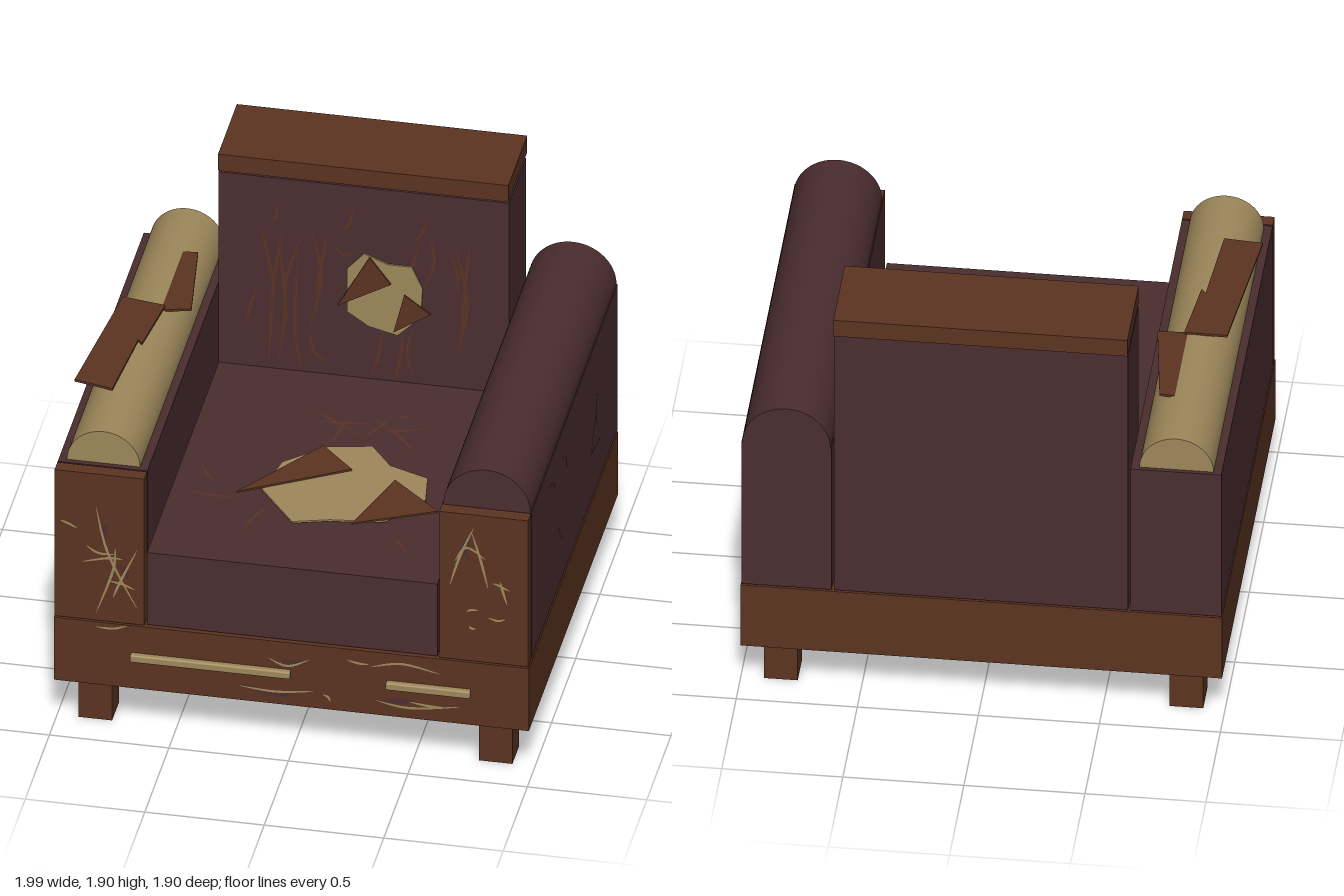
import * as THREE from 'three';
import { mergeGeometries } from 'three/addons/utils/BufferGeometryUtils.js';
import { RoundedBoxGeometry } from 'three/addons/geometries/RoundedBoxGeometry.js';

const colour = (name, hex, side = THREE.FrontSide) => {
  const m = new THREE.MeshStandardMaterial({ color: hex, side });
  m.name = name;
  return m;
};

export function createModel() {
  const root = new THREE.Group();
  root.name = 'wornArmchair';
  const wood = colour('brown wood', 0x5c3421);
  const fabric = colour('maroon fabric', 0x4b2d30);
  const stuffing = colour('straw stuffing', 0x9e885b);

  const add = (name, geometry, material, parent = root) => {
    const mesh = new THREE.Mesh(geometry, material);
    mesh.name = name;
    parent.add(mesh);
    return mesh;
  };

  // Box given by its limits on each axis
  const box = (name, material, [x0, x1], [y0, y1], [z0, z1]) =>
    add(name, new THREE.BoxGeometry(x1 - x0, y1 - y0, z1 - z0), material)
      .position.set((x0 + x1) / 2, (y0 + y1) / 2, (z0 + z1) / 2);

  // Half-round roll lying along z
  const roll = (name, material, x, r, z0, z1) => {
    const g = new THREE.CylinderGeometry(r, r, z1 - z0, 40, 1, false, -Math.PI / 2, Math.PI);
    add(name, g.rotateX(-Math.PI / 2), material).position.set(x, 1.24, (z0 + z1) / 2);
  };

  // Base and legs
  box('baseFrame', wood, [-0.998, 0.99], [0.22, 0.523], [-0.93, 0.92]);
  for (const x of [-0.91, 0.765])
    for (const z of [-0.84, 0.7])
      box('leg', wood, [x, x + 0.14], [0, 0.22], [z, z + 0.14]);

  // Seat, back and top rail
  box('seatCushion', fabric, [-0.61, 0.605], [0.53, 0.88], [-0.575, 0.91]);
  box('backrest', fabric, [-0.61, 0.605], [0.53, 1.805], [-0.928, -0.575]);
  box('topRail', wood, [-0.61, 0.605], [1.82, 1.9], [-0.95, -0.56]);

  // Arms with wooden front panels; the right one has lost its cover
  for (const [side, x0, x1] of [['right', -0.995, -0.62], ['left', 0.615, 0.987]]) {
    box(side + 'Arm', fabric, [x0, x1], [0.53, 1.24], [-0.928, 0.853]);
    box(side + 'ArmPanel', wood, [x0, x1], [0.53, 1.24], [0.86, 0.918]);
  }
  roll('leftArmRoll', fabric, 0.801, 0.182, -0.928, 0.853);
  roll('rightArmStuffing', stuffing, -0.808, 0.153, -0.91, 0.83);

  // Stuffing showing through the base front
  for (const [x0, x1] of [[-0.675, -0.005], [0.395, 0.748]])
    add('baseStuffing', new RoundedBoxGeometry(x1 - x0, 0.036, 0.03, 2, 0.008), stuffing)
      .position.set((x0 + x1) / 2, 0.378, 0.934);

  // Flat layers that carry the damage: local xy is the surface, local z faces out
  const layer = (name) => {
    const g = new THREE.Group();
    g.name = name;
    root.add(g);
    return g;
  };
  const front = layer('frontDamage');
  front.position.z = 0.92;
  const back = layer('backrestDamage');
  back.position.z = -0.574;
  const seat = layer('seatDamage');
  seat.rotation.x = -Math.PI / 2;
  seat.position.y = 0.881;
  const outer = layer('leftArmDamage');
  outer.rotation.y = Math.PI / 2;
  outer.position.x = 0.988;

  // Thin plate from corners in hundredths
  const plateGeometry = (pts, depth) => new THREE.ExtrudeGeometry(
    new THREE.Shape(pts.map(([x, y]) => new THREE.Vector2(x / 100, y / 100))),
    { depth, bevelEnabled: false });
  const plate = (name, parent, material, z, pts) => {
    add(name, plateGeometry(pts, 0.008), material, parent).position.z = z;
  };

  // Tapered curved scratches; each row is three points in hundredths
  const scratches = (name, parent, material, width, z, rows) => {
    const parts = rows.map((r) => {
      const curve = new THREE.SplineCurve([0, 2, 4].map((i) => new THREE.Vector2(r[i] / 100, r[i + 1] / 100)));
      const a = [], b = [], n = 10;
      for (let i = 0; i <= n; i++) {
        const p = curve.getPoint(i / n), t = curve.getTangent(i / n);
        const w = width * (0.12 + 0.88 * Math.sin(Math.PI * i / n)) / 2;
        a.push(new THREE.Vector2(p.x - t.y * w, p.y + t.x * w));
        b.unshift(new THREE.Vector2(p.x + t.y * w, p.y - t.x * w));
      }
      return new THREE.ShapeGeometry(new THREE.Shape([...a, ...b]));
    });
    add(name, mergeGeometries(parts), material, parent).position.z = z;
  };

  // Torn hole in the seat
  plate('seatStuffing', seat, stuffing, 0.004, [[14, 5], [24, -8], [41, -14.5], [43.5, -31], [30, -50],
    [16, -52.5], [8, -53.5], [-7, -58], [-24, -36], [-20, -14], [-4, 1]]);
  plate('seatFlap', seat, wood, 0.015, [[-5.5, 0], [9.5, -15.5], [-33.5, -41.5]]);
  plate('seatFlap', seat, wood, 0.015, [[28.5, -20], [50.5, -40], [17.5, -56]]);

  // Torn hole in the backrest
  plate('backStuffing', back, stuffing, 0.003, [[0, 149], [10, 145], [20, 145], [24.5, 135], [24, 125],
    [20, 117], [14, 111], [2, 114], [-7, 120], [-7, 141]]);
  plate('backFlap', back, wood, 0.013, [[2.5, 148], [11.5, 136], [-11, 123]]);
  plate('backFlap', back, wood, 0.013, [[17, 131.5], [28, 123.5], [12.5, 113]]);

  // Scratches on the fabric
  scratches('backScratches', back, wood, 0.013, 0.001, [
    [26, 168, 24, 161, 21, 157], [28, 159, 29, 147, 25, 135], [38, 156, 43, 130, 39, 105],
    [44, 159, 42, 135, 40, 105], [36, 153, 39, 143, 39, 134], [8, 113, 6, 100, 3, 90],
    [16, 111, 15, 100, 13, 89], [20, 113, 18, 104, 20, 92], [-43, 156, -40, 140, -37, 124],
    [-45, 127, -48, 116, -50, 108], [-34, 156, -38, 130, -40, 89], [-28, 145, -29, 108, -26, 89],
    [-22, 156, -18, 135, -23, 108], [-23, 108, -21, 98, -15, 94], [-16, 156, -18, 140, -21, 124],
    [-36, 168, -37, 162, -38, 159], [-13, 151, -9, 147, -5, 148], [-5, 169, -6, 163, -9, 159],
    [-26, 155, -33, 130, -32, 110], [-36, 150, -33, 120, -36, 92], [23, 157, 20, 140, 25, 125]]);
  scratches('seatScratches', seat, wood, 0.01, 0.001, [
    [-14, 28, -5, 22, 8, 13], [-10, 21, 0, 22, 8, 23], [8, 13, 13, 20, 16, 29],
    [11, 27, 22, 17, 32, 5], [16, 19, 25, 21, 32, 24], [0, 27, -2, 17, -3, 5],
    [19, 30, 22, 31, 25, 32], [-52, -21, -49, -27, -45, -32], [-52, -41, -43, -43, -34, -42],
    [-19, -47, -23, -55, -26, -67], [36, -61, 40, -65, 43, -71]]);
  scratches('armScratches', outer, wood, 0.011, 0.001, [
    [-50, 114, -43, 112, -37, 106], [-23, 112, -15, 107, -11, 99], [-31, 83, -26, 76, -21, 72],
    [52, 101, 45, 87, 36, 74], [49, 94, 48, 88, 50, 82], [36, 76, 48, 74, 57, 72]]);

  // Scratches on the wood
  scratches('woodGouges', front, fabric, 0.025, 0.001, [
    [-21, 30, -10, 27, 1, 27], [-5, 43, 1, 43, 6, 43], [38, 29, 45, 30, 52, 30],
    [-78, 100, -79, 95, -78, 89], [-73, 81, -70, 79, -69, 75], [75, 113, 72, 108, 74, 102]]);
  scratches('woodScratches', front, stuffing, 0.011, 0.002, [
    [-82, 108, -77, 86, -65, 61], [-74, 89, -75, 78, -82, 57], [-88, 81, -77, 84, -71, 84],
    [-97, 100, -94, 99, -90, 97], [-86, 89, -81, 86, -74, 86], [-65, 89, -72, 73, -75, 65],
    [-77, 73, -71, 72, -66, 70], [-82, 50, -75, 50, -69, 52], [76, 118, 70, 103, 66, 89],
    [75, 116, 79, 102, 82, 89], [68, 101, 73, 108, 81, 103], [87, 93, 88, 89, 90, 82],
    [73, 77, 75, 78, 78, 78], [74, 70, 75, 69, 77, 69], [82, 75, 86, 74, 89, 75],
    [84, 92, 87, 91, 91, 89], [-22, 29, -7, 28, 9, 30], [13, 29, 15, 28, 16, 26],
    [-10, 44, -2, 41, 7, 45], [23, 47, 28, 46, 32, 46], [33, 45, 46, 48, 62, 45],
    [35, 29, 49, 27, 70, 30], [49, 30, 57, 29, 65, 29]]);

  // Broken boards resting on the exposed stuffing, tilted across x
  const board = (pts, height, slope) => {
    const g = plateGeometry(pts, 0.01).rotateX(-Math.PI / 2);
    const p = g.attributes.position;
    for (let i = 0; i < p.count; i++) p.setY(i, p.getY(i) + height + slope * (p.getX(i) + 0.8));
    g.computeVertexNormals();
    add('brokenBoard', g, wood);
  };
  board([[-93, 17.5], [-75, 16], [-78.5, -15], [-80.5, -12.5], [-83.5, -51.5], [-99.8, -49]], 1.391, -0.05);
  board([[-76.5, 59.5], [-70, 59.5], [-64, 16], [-76.5, 14]], 1.374, 0.06);

  return root;
}
